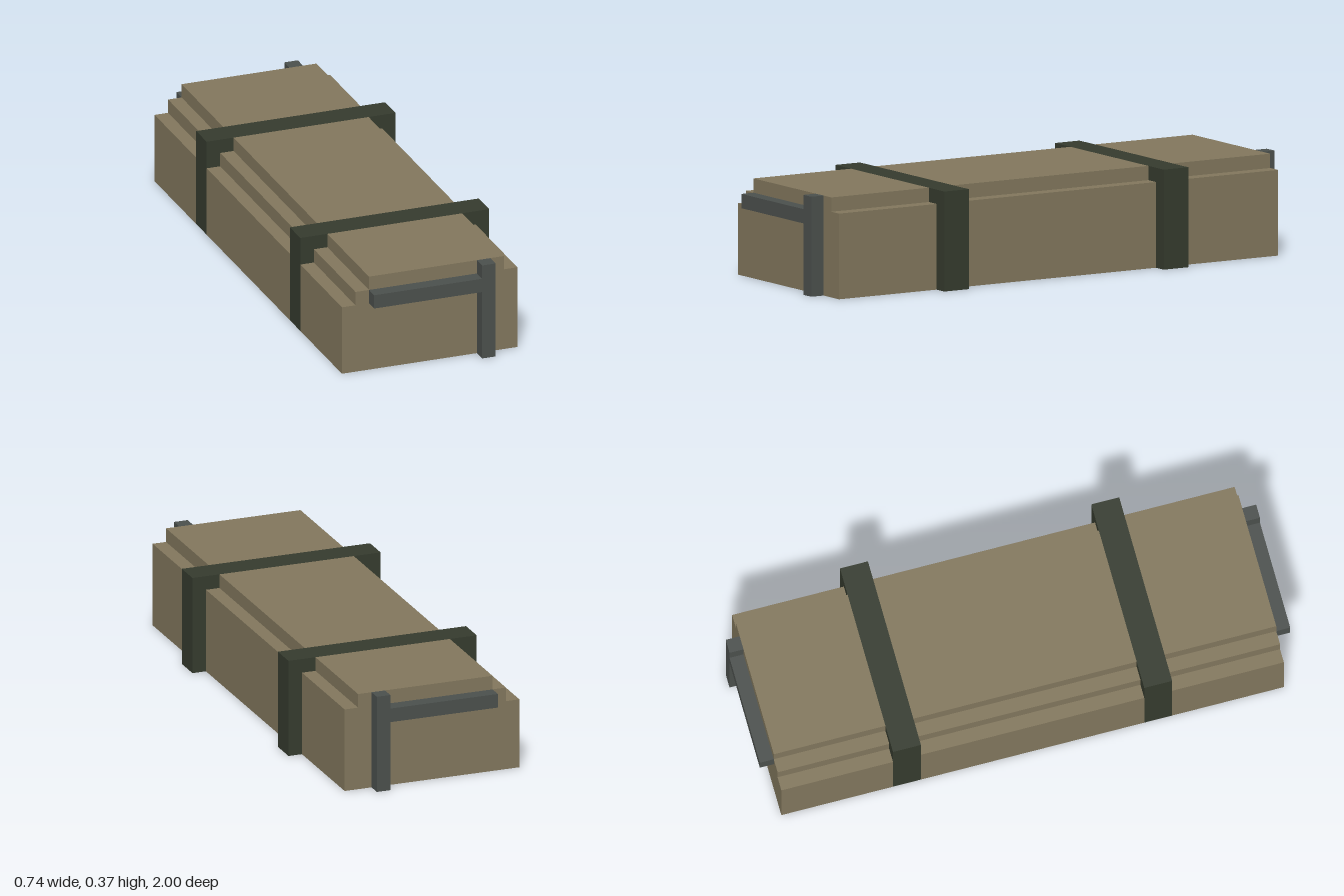
import * as THREE from 'three';

const U = 1 / 19; // one block unit; the crate is 38 units long

export function createModel() {
  const group = new THREE.Group();
  group.name = 'strappedCrate';

  const mat = (name, color) => {
    const m = new THREE.MeshStandardMaterial({ color });
    m.name = name;
    return m;
  };
  const tan = mat('tan', 0x82775d);
  const green = mat('darkGreen', 0x353b2e);
  const grey = mat('steelGrey', 0x4b504d);

  // box between two corners, in block units
  const box = (name, material, [x0, y0, z0], [x1, y1, z1]) => {
    const geo = new THREE.BoxGeometry((x1 - x0) * U, (y1 - y0) * U, (z1 - z0) * U);
    const mesh = new THREE.Mesh(geo, material);
    mesh.position.set((x0 + x1) / 2 * U, (y0 + y1) / 2 * U, (z0 + z1) / 2 * U);
    mesh.name = name;
    group.add(mesh);
  };

  // crate body: stepped section, two steps on one side and one on the other
  const section = new THREE.Shape(
    [[-7, 0], [6, 0], [6, 6], [5, 6], [5, 7], [-5, 7], [-5, 6], [-6, 6], [-6, 5], [-7, 5]]
      .map(([x, y]) => new THREE.Vector2(x * U, y * U))
  );
  for (const [name, z0, z1] of [['backBody', -18, -10], ['middleBody', -8, 8], ['frontBody', 10, 18]]) {
    const geo = new THREE.ExtrudeGeometry(section, { depth: (z1 - z0) * U, bevelEnabled: false });
    const mesh = new THREE.Mesh(geo, tan);
    mesh.position.z = z0 * U;
    mesh.name = name;
    group.add(mesh);
  }

  // straps around the crate, standing proud on the left side
  box('backStrap', green, [-7, 0, -10], [7, 7, -8]);
  box('frontStrap', green, [-7, 0, 8], [7, 7, 10]);

  // upright and cross bar on each end
  for (const [end, z0] of [['front', 18], ['back', -19]]) {
    box(end + 'Upright', grey, [3, 0, z0], [4, 7, z0 + 1]);
    box(end + 'CrossBar', grey, [-5, 5, z0], [3, 6, z0 + 1]);
  }
  return group;
}
